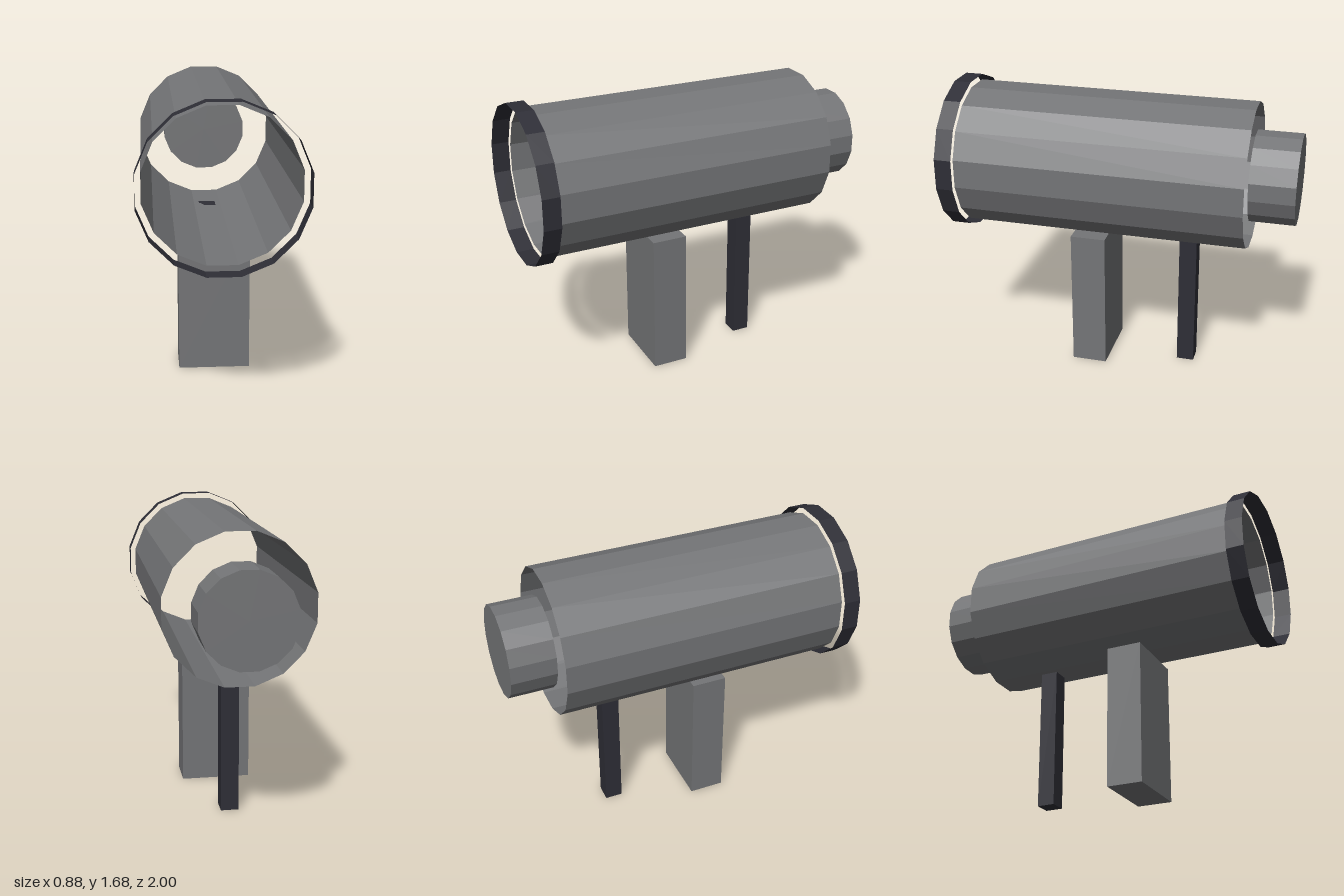
import * as THREE from 'three';

const SIDES = 16;
const AXIS_Y = 1.236; // height of the barrel axis

function makeMaterial(name, color) {
  const m = new THREE.MeshStandardMaterial({ color, side: THREE.DoubleSide, flatShading: true });
  m.name = name;
  return m;
}

export function createModel() {
  const group = new THREE.Group();
  group.name = 'barrelOnStand';
  const grey = makeMaterial('steel grey', 0x747577);
  const dark = makeMaterial('dark slate', 0x2e2e36);

  function add(name, geometry, material, x, y, z) {
    const mesh = new THREE.Mesh(geometry, material);
    mesh.name = name;
    mesh.position.set(x, y, z);
    group.add(mesh);
  }

  // Cylinder lying along z, with a flat facet on top; apothem is centre to facet
  function barrel(name, apothem, zBack, zFront, open, material) {
    const r = apothem / Math.cos(Math.PI / SIDES);
    const g = new THREE.CylinderGeometry(r, r, zFront - zBack, SIDES, 1, open);
    g.rotateY(Math.PI / SIDES);
    g.rotateX(Math.PI / 2);
    add(name, g, material, 0, AXIS_Y, (zFront + zBack) / 2);
  }

  // Open tube, wider open rim floating around its front end, solid rear plug
  barrel('tube', 0.41, -0.742, 0.9, true, grey);
  barrel('frontRim', 0.441, 0.9, 1, true, dark);
  barrel('rearPlug', 0.256, -1, -0.742, false, grey);

  // Supports reach up to the underside of the tube
  const legHeight = AXIS_Y - 0.41;
  add('frontSupport', new THREE.BoxGeometry(0.41, legHeight, 0.205), grey, 0, legHeight / 2, 0.182);
  add('rearLeg', new THREE.BoxGeometry(0.102, legHeight, 0.102), dark, 0, legHeight / 2, -0.385);

  return group;
}
